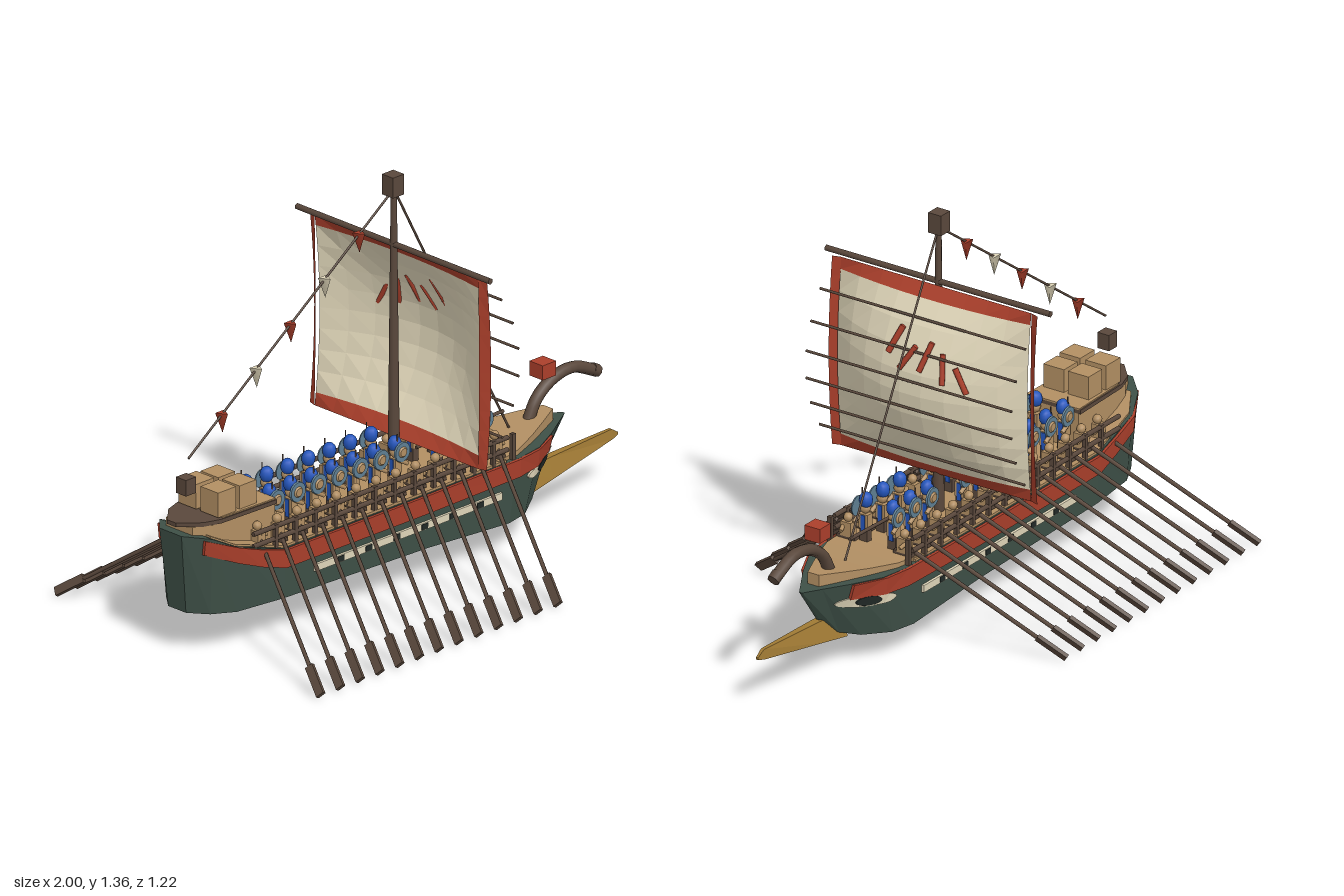
import * as THREE from 'three';

const mat = (name, color, side = THREE.FrontSide) => new THREE.MeshStandardMaterial({ name, color, side });
const M = {
  green: mat('hull green', 0x3e5047),
  tan: mat('deck tan', 0xb28f63),
  wood: mat('dark wood', 0x5a483c),
  red: mat('red paint', 0xab3f2b, THREE.DoubleSide),
  cream: mat('sail cream', 0xe2d8bb, THREE.DoubleSide),
  blue: mat('helmet blue', 0x2456bd),
  gold: mat('ram bronze', 0xa07a34),
  steel: mat('shield steel', 0x5f7f93),
  dark: mat('dark paint', 0x222a28),
};
const V = (x, y, z) => new THREE.Vector3(x, y, z);

function add(parent, name, geo, material, x = 0, y = 0, z = 0) {
  const m = new THREE.Mesh(geo, material);
  m.name = name;
  m.position.set(x, y, z);
  parent.add(m);
  return m;
}
const box = (p, name, material, w, h, d, x, y, z) => add(p, name, new THREE.BoxGeometry(w, h, d), material, x, y, z);

// round bar between two points
function rod(p, name, material, a, b, r0, r1 = r0, sides = 6) {
  const m = add(p, name, new THREE.CylinderGeometry(r1, r0, a.distanceTo(b), sides), material);
  m.position.copy(a).lerp(b, 0.5);
  m.quaternion.setFromUnitVectors(V(0, 1, 0), b.clone().sub(a).normalize());
}

// faceted solid through rings of points that advance along x
function loft(rings) {
  const pos = [], n = rings[0].length;
  const tri = (...ps) => ps.forEach(q => pos.push(...q));
  for (let i = 0; i < rings.length - 1; i++) {
    for (let j = 0; j < n; j++) {
      const k = (j + 1) % n, A = rings[i], B = rings[i + 1];
      tri(A[j], A[k], B[k]);
      tri(A[j], B[k], B[j]);
    }
  }
  const S = rings[0], E = rings[rings.length - 1];
  for (let k = 1; k < n - 1; k++) {
    tri(S[0], S[k + 1], S[k]);
    tri(E[0], E[k], E[k + 1]);
  }
  const g = new THREE.BufferGeometry();
  g.setAttribute('position', new THREE.Float32BufferAttribute(pos, 3));
  g.computeVertexNormals();
  return g;
}
const slab = (x, lo, hi, w) => [[x, hi, -w], [x, hi, w], [x, lo, w], [x, lo, -w]];

// hull stations: top x, bottom x, top half width, bottom half width, top y, bottom y
const HULL = [
  [-1, -0.97, 0.05, 0.04, 0.42, 0.145], [-0.93, -0.92, 0.12, 0.1, 0.41, 0.143],
  [-0.85, -0.84, 0.155, 0.14, 0.37, 0.14], [-0.65, -0.65, 0.165, 0.16, 0.31, 0.137],
  [0, 0, 0.165, 0.16, 0.31, 0.12], [0.4, 0.36, 0.162, 0.158, 0.31, 0.097],
  [0.51, 0.45, 0.145, 0.138, 0.312, 0.097], [0.62, 0.54, 0.09, 0.08, 0.314, 0.105],
  [0.7, 0.6, 0.042, 0.036, 0.315, 0.125], [0.76, 0.64, 0.006, 0.006, 0.315, 0.15],
];
// half width of the hull side at a given x and y
function hullZ(x, y) {
  const p = HULL.map(([xt, xb, wt, wb, yt, yb]) => {
    const t = Math.min(1, Math.max(0, (yt - y) / (yt - yb)));
    return [xt + (xb - xt) * t, wt + (wb - wt) * t];
  });
  let i = 0;
  while (i < p.length - 2 && x > p[i + 1][0]) i++;
  const t = Math.min(1, Math.max(0, (x - p[i][0]) / (p[i + 1][0] - p[i][0])));
  return p[i][1] + (p[i + 1][1] - p[i][1]) * t;
}
// painted plate hugging the hull side; pts are [x, low y, high y]
const plate = (p, name, material, pts, out) => add(p, name, loft(pts.map(([x, lo, hi]) => {
  const a = hullZ(x, lo), b = hullZ(x, hi);
  return [[x, hi, b - 0.01], [x, hi, b + out], [x, lo, a + out], [x, lo, a - 0.01]];
})), material);
// pointed oval rising towards the bow
const oval = (cx, cy, rx, ry) => Array.from({ length: 13 }, (_, i) => {
  const a = Math.PI * i / 12, h = Math.max(0.0005, ry * Math.sin(a)), y = cy - 0.08 * rx * Math.cos(a);
  return [cx - rx * Math.cos(a), y - h, y + h];
});

// sail surfaces give x from u across and v up, both -1..1
const U = 0.925, T = 0.88, B = -0.87;
const bulge = (u, v) => 0.012 + 0.15 * (1 - v * v) * (1 - u * u);
const flare = (u, v) => 0.008 + (0.008 + 0.024 * (Math.abs(u) - U) / (1 - U)) * (1 - 0.6 * v * v);
function sailPatch(u0, u1, v0, v1, nu, nv, surface = bulge) {
  const g = new THREE.PlaneGeometry(1, 1, nu, nv).toNonIndexed(), p = g.attributes.position;
  for (let i = 0; i < p.count; i++) {
    const u = u0 + (u1 - u0) * (p.getX(i) + 0.5), v = v0 + (v1 - v0) * (p.getY(i) + 0.5);
    p.setXYZ(i, surface(u, v), 0.78 + 0.33 * v, -0.4 * u);
  }
  g.computeVertexNormals();
  return g;
}

// everything repeated on each side, built on +z
function buildSide() {
  const s = new THREE.Group();
  plate(s, 'redBand', M.red, [[-0.95, 0.355, 0.405], [-0.85, 0.315, 0.37], [-0.75, 0.275, 0.335], [-0.65, 0.245, 0.308],
    [0, 0.245, 0.308], [0.4, 0.248, 0.31], [0.5, 0.25, 0.31], [0.61, 0.255, 0.31]], 0.01);
  plate(s, 'portStripe', M.cream, [[-0.52, 0.193, 0.218], [0, 0.193, 0.218], [0.32, 0.193, 0.218]], 0.009);
  for (let i = 0; i < 6; i++) {
    const x = -0.42 + i * 0.125;
    plate(s, 'port', M.dark, [[x, 0.196, 0.215], [x + 0.028, 0.196, 0.215]], 0.011);
  }
  plate(s, 'eyeWhite', M.cream, oval(0.55, 0.238, 0.1, 0.021), 0.007);
  plate(s, 'eyePupil', M.dark, oval(0.55, 0.238, 0.04, 0.017), 0.011);

  // railing
  for (const y of [0.35, 0.392]) rod(s, 'rail', M.wood, V(-0.78, y, 0.152), V(0.36, y, 0.152), 0.008);

  for (let i = 0; i < 13; i++) {
    const x = -0.92 + i * 0.0885;
    // oar with flat blade, edge-on along z
    const tip = V(x, 0.012, 0.6), grip = V(x + 0.21, 0.365, 0.1);
    const at = t => tip.clone().lerp(grip, t);
    rod(s, 'oarShaft', M.wood, at(0.1), grip, 0.007);
    const blade = box(s, 'oarBlade', M.wood, 0.03, 0.115, 0.013, 0, 0, 0);
    const dir = grip.clone().sub(tip).normalize();
    const face = dir.clone().cross(V(0, 0, 1)).normalize();
    blade.quaternion.setFromRotationMatrix(new THREE.Matrix4().makeBasis(dir.clone().cross(face), dir, face));
    blade.position.copy(at(0.09));
    box(s, 'railPost', M.wood, 0.014, 0.095, 0.014, x + 0.24, 0.352, 0.152);
    // seated rower
    const rx = x + 0.2;
    box(s, 'bench', M.wood, 0.03, 0.012, 0.07, rx, 0.328, 0.11);
    box(s, 'rowerBody', M.tan, 0.032, 0.05, 0.04, rx, 0.355, 0.11);
    add(s, 'rowerHead', new THREE.SphereGeometry(0.016, 8, 6), M.tan, rx, 0.393, 0.11);
    rod(s, 'rowerArm', M.tan, V(rx, 0.37, 0.125), V(rx + 0.035, 0.355, 0.115), 0.007);
  }

  // standing soldiers with helmets, shields and spears
  for (let i = 0; i < 11; i++) {
    if (i === 7) continue;
    const x = -0.61 + i * 0.0935;
    box(s, 'soldierLegs', M.wood, 0.025, 0.06, 0.03, x, 0.34, 0.055);
    box(s, 'soldierBody', M.tan, 0.028, 0.05, 0.035, x, 0.39, 0.055);
    box(s, 'soldierSash', M.blue, 0.034, 0.06, 0.016, x, 0.382, 0.055);
    rod(s, 'soldierArm', M.tan, V(x, 0.41, 0.075), V(x + 0.035, 0.39, 0.075), 0.008);
    add(s, 'soldierHead', new THREE.SphereGeometry(0.019, 8, 6), M.tan, x, 0.434, 0.055);
    const helmet = add(s, 'helmet', new THREE.SphereGeometry(0.023, 10, 8), M.blue, x, 0.462, 0.053);
    helmet.scale.y = 1.2;
    const sx = x + 0.008, sy = 0.438;
    rod(s, 'shield', M.steel, V(sx, sy, 0.077), V(sx, sy, 0.083), 0.035, 0.033, 14);
    rod(s, 'shieldBoss', M.tan, V(sx, sy, 0.083), V(sx, sy, 0.088), 0.019, 0.014, 10);
    rod(s, 'spear', M.wood, V(x - 0.004, 0.32, 0.07), V(x - 0.004, 0.5, 0.07), 0.003, 0.003, 4);
  }
  // cargo crates on the stern platform
  box(s, 'crate', M.tan, 0.08, 0.085, 0.08, -0.835, 0.502, 0.05);
  box(s, 'crate', M.tan, 0.075, 0.08, 0.08, -0.74, 0.5, 0.048);
  return s;
}

export function createModel() {
  const ship = new THREE.Group();
  ship.name = 'oaredShip';

  // hull and decks
  add(ship, 'hull', loft(HULL.map(([xt, xb, wt, wb, yt, yb]) =>
    [[xt, yt, -wt], [xt, yt, wt], [xb, yb, wb], [xb, yb, -wb]])), M.green);
  add(ship, 'mainDeck', loft([[-0.92, 0.412, 0.1], [-0.85, 0.376, 0.142], [-0.65, 0.318, 0.158], [0, 0.318, 0.16],
    [0.35, 0.318, 0.157]].map(([x, y, w]) => slab(x, y - 0.02, y, w))), M.tan);
  add(ship, 'bowDeck', loft([[0.32, 0.32, 0.152], [0.42, 0.327, 0.138], [0.52, 0.336, 0.1], [0.61, 0.346, 0.06],
    [0.69, 0.355, 0.022]].map(([x, y, w]) => slab(x, 0.305, y, w))), M.tan);
  add(ship, 'sternCabin', loft([[-0.96, 0.06], [-0.9, 0.092], [-0.63, 0.1]]
    .map(([x, w]) => slab(x, 0.3, 0.442, w))), M.tan);
  add(ship, 'sternPlatform', loft([[-0.995, 0.02], [-0.93, 0.08], [-0.87, 0.1], [-0.63, 0.108]]
    .map(([x, w]) => slab(x, 0.442, 0.456, w))), M.wood);
  add(ship, 'platformBoards', loft([[-0.86, 0.095], [-0.63, 0.103]].map(([x, w]) => slab(x, 0.455, 0.46, w))), M.tan);
  box(ship, 'sternLantern', M.wood, 0.045, 0.055, 0.045, -0.93, 0.563, 0);

  // bow: ram, curled stem and red block
  add(ship, 'ram', loft([[0.56, 0.098, 0.175, 0.042, 0.02], [0.68, 0.118, 0.185, 0.034, 0.014],
    [0.97, 0.163, 0.197, 0.01, 0.006], [1, 0.17, 0.178, 0.005, 0.004]].map(([x, lo, hi, wb, wt]) =>
    [[x, hi, -wt], [x, hi, wt], [x, lo, wb], [x, lo, -wb]])), M.gold);
  const stem = new THREE.CatmullRomCurve3([V(0.595, 0.32, 0), V(0.64, 0.4, 0), V(0.71, 0.447, 0), V(0.8, 0.46, 0), V(0.91, 0.415, 0)]);
  add(ship, 'curledStem', new THREE.TubeGeometry(stem, 14, 0.02, 8), M.wood);
  rod(ship, 'stemEnd', M.wood, V(0.885, 0.429, 0), V(0.912, 0.414, 0), 0.021, 0.021, 8);
  box(ship, 'bowBlock', M.red, 0.06, 0.05, 0.06, 0.667, 0.495, 0);

  // mast, yard and rigging
  rod(ship, 'mast', M.wood, V(0, 0.3, 0), V(0, 1.3, 0), 0.02, 0.01, 8);
  box(ship, 'mastTop', M.wood, 0.05, 0.07, 0.05, -0.003, 1.327, 0);
  rod(ship, 'yard', M.wood, V(0, 1.12, -0.437), V(0, 1.12, 0.437), 0.011);
  rod(ship, 'forestay', M.wood, V(0, 1.31, 0), V(0.52, 0.325, 0), 0.004);
  rod(ship, 'foreBoom', M.wood, V(0.1, 0.388, 0), V(0.49, 0.4, 0), 0.006);
  const lineA = V(-0.92, 0.65, 0), lineB = V(0, 1.31, 0);
  rod(ship, 'pennantLine', M.wood, lineA, lineB, 0.004);
  for (let i = 0; i < 5; i++) {
    const p = lineA.clone().lerp(lineB, (i + 1) / 6);
    const c = add(ship, 'pennant', new THREE.ConeGeometry(0.024, 0.07, 3), i % 2 ? M.cream : M.red, p.x, p.y - 0.03, 0);
    c.rotation.z = Math.PI;
  }

  // sail with red border, its side strips turned forward
  add(ship, 'sailCloth', sailPatch(-U, U, B, T, 9, 8), M.cream);
  add(ship, 'sailBorderSide', sailPatch(-1, -U, -1, 1, 1, 10, flare), M.red);
  add(ship, 'sailBorderSide', sailPatch(U, 1, -1, 1, 1, 10, flare), M.red);
  add(ship, 'sailBorderTop', sailPatch(-U, U, T, 1, 9, 1), M.red);
  add(ship, 'sailBorderBottom', sailPatch(-U, U, -1, B, 9, 1), M.red);
  for (let i = 0; i < 6; i++) {
    const y = 0.545 + i * 0.095, x = bulge(0, (y - 0.78) / 0.33) + 0.004;
    rod(ship, 'sailBatten', M.wood, V(x, y, -0.4), V(x, y, 0.4), 0.005);
  }
  // slanted red marks: upper z, upper y, lower z, lower y
  for (const [z0, y0, z1, y1] of [[0.062, 0.988, 0.097, 0.9], [-0.005, 0.942, 0.043, 0.863], [-0.06, 0.964, -0.033, 0.87],
    [-0.105, 0.938, -0.119, 0.842], [-0.155, 0.902, -0.199, 0.824]]) {
    const at = (z, y) => V(bulge(z / 0.4, (y - 0.78) / 0.33) + 0.006, y, z);
    rod(ship, 'sailMark', M.red, at(z0, y0), at(z1, y1), 0.01);
  }

  // both sides
  const near = buildSide(), far = buildSide();
  near.name = 'frontSide';
  far.name = 'backSide';
  far.scale.z = -1;
  ship.add(near, far);
  return ship;
}
